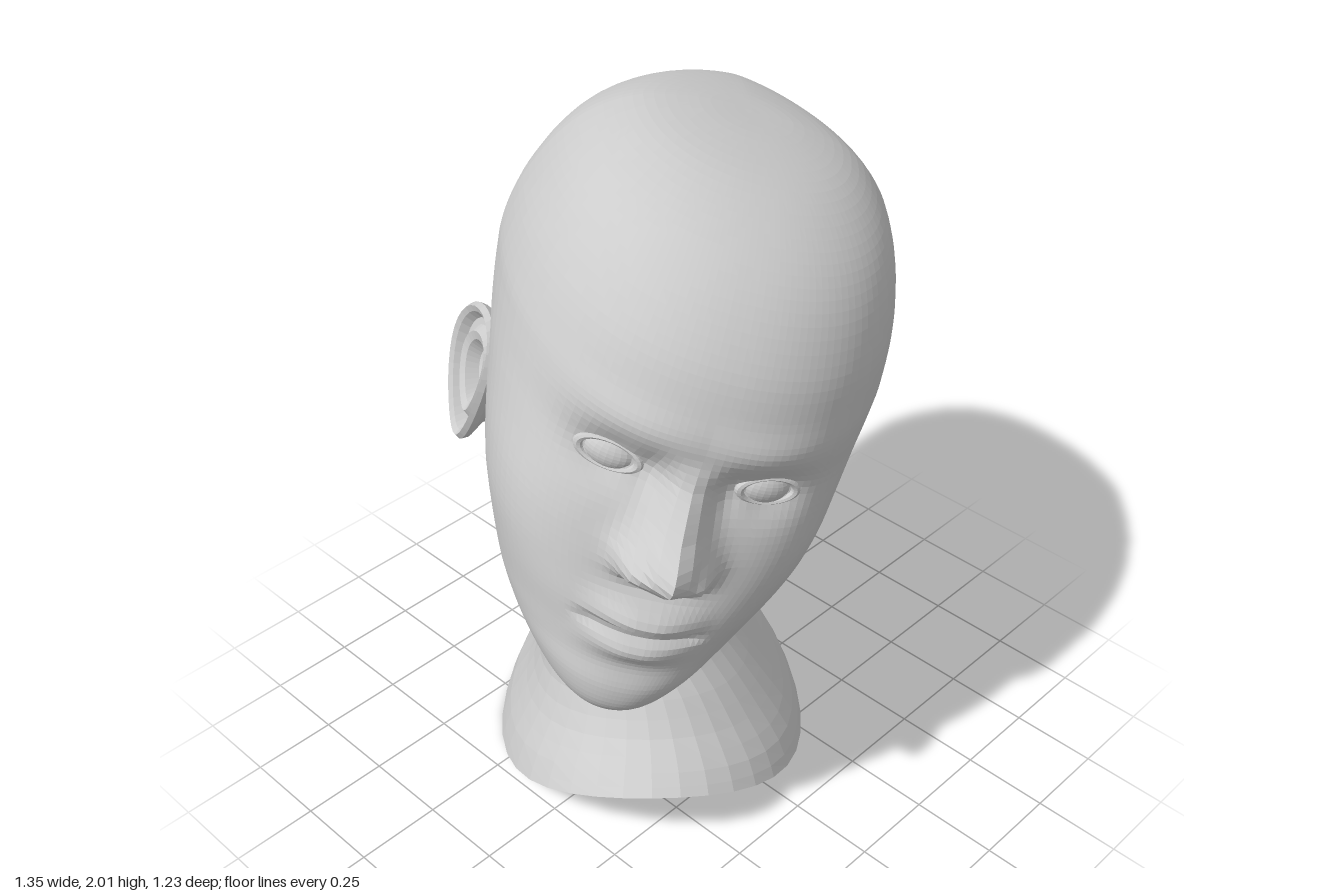
import * as THREE from 'three';

const grey = new THREE.MeshStandardMaterial({ color: 0xcccccc, flatShading: true, side: THREE.DoubleSide });
const gauss = (d, s) => Math.exp(-(d * d) / (s * s));
const spow = (v, n) => Math.sign(v) * Math.pow(Math.abs(v), n);

function addMesh(parent, name, geometry) {
  const mesh = new THREE.Mesh(geometry, grey);
  mesh.name = name;
  parent.add(mesh);
  return mesh;
}

// Smooth interpolation between the rows of a small table, at row position t
function sample(table, t) {
  const i = Math.min(Math.floor(t), table.length - 2), k = t - i;
  const row = (n) => table[Math.max(0, Math.min(table.length - 1, n))];
  return row(i).map((b, c) => {
    const a = row(i - 1)[c], d = row(i + 1)[c], e = row(i + 2)[c];
    return b + 0.5 * k * (d - a + k * (2 * a - 5 * b + 4 * d - e + k * (3 * (b - d) + e - a)));
  });
}

// Straight interpolation in [key, value] pairs with falling keys; zero outside
function ramp(pairs, key) {
  for (let i = 0; i < pairs.length - 1; i++) {
    const [k0, v0] = pairs[i], [k1, v1] = pairs[i + 1];
    if (key <= k0 && key >= k1) return v0 + ((v1 - v0) * (k0 - key)) / (k0 - k1);
  }
  return 0;
}

// Skin over closed rings; point(i, j) gives [x, y, z]
function loft(rings, cols, point) {
  const pos = [], index = [];
  for (let i = 0; i < rings; i++) {
    for (let j = 0; j < cols; j++) {
      pos.push(...point(i, j));
      if (i === rings - 1) continue;
      const a = i * cols + j, d = i * cols + ((j + 1) % cols);
      index.push(a, a + cols, d + cols, a, d + cols, d);
    }
  }
  const g = new THREE.BufferGeometry();
  g.setAttribute('position', new THREE.Float32BufferAttribute(pos, 3));
  g.setIndex(index);
  g.computeVertexNormals();
  return g;
}

// Skull and face sections: height, front z, back z, half width
const HEAD = [
  [0.83, -0.08, -0.08, 0], [0.825, 0.08, -0.21, 0.14], [0.795, 0.26, -0.375, 0.275],
  [0.725, 0.42, -0.52, 0.38], [0.63, 0.54, -0.635, 0.45], [0.5, 0.63, -0.72, 0.5],
  [0.38, 0.67, -0.755, 0.52], [0.3, 0.685, -0.75, 0.515], [0.2, 0.675, -0.715, 0.5],
  [0.1, 0.675, -0.665, 0.48], [0, 0.69, -0.6, 0.46], [-0.1, 0.71, -0.52, 0.435],
  [-0.19, 0.73, -0.41, 0.4], [-0.27, 0.735, -0.16, 0.365], [-0.33, 0.74, 0, 0.335],
  [-0.4, 0.755, 0.06, 0.285], [-0.47, 0.74, 0.12, 0.22], [-0.52, 0.68, 0.18, 0.15],
  [-0.545, 0.58, 0.27, 0.08], [-0.55, 0.45, 0.45, 0],
];
const NOSE = [[0.27, 0], [0.2, 0.03], [0.1, 0.11], [0.05, 0.175], [0.01, 0.18], [-0.04, 0.11], [-0.085, 0]];

// Forward offset of the face surface: nose, eye sockets, brows and lips
function features(x, y) {
  const ax = Math.abs(x);
  let d = ramp(NOSE, y) * gauss(ax, 0.05 + 0.04 * THREE.MathUtils.clamp((0.2 - y) / 0.2, 0, 1));
  d += 0.05 * gauss(ax - 0.09, 0.035) * gauss(y + 0.015, 0.04);
  d -= 0.05 * gauss(ax - 0.2, 0.1) * gauss(y - 0.19, 0.07);
  d -= 0.025 * gauss(ax - 0.1, 0.04) * gauss(y - 0.19, 0.06);
  d += 0.012 * gauss(ax - 0.17, 0.13) * gauss(y - 0.32, 0.05);
  const mouth = 1 - THREE.MathUtils.smoothstep(ax, 0.01, 0.19);
  d += mouth * (0.05 * gauss(y + 0.17, 0.04) + 0.038 * gauss(y + 0.26, 0.04));
  d -= 0.022 * (1 - THREE.MathUtils.smoothstep(ax, 0.12, 0.19)) * gauss(y + 0.217, 0.014);
  return d;
}

function headGeometry() {
  const steps = 5, cols = 88, rows = (HEAD.length - 1) * steps + 1;
  return loft(rows, cols, (i, j) => {
    const [y, front, back, w] = sample(HEAD, i / steps);
    const t = (j / cols) * Math.PI * 2 - Math.PI;
    const a = t - 0.55 * Math.sin(t); // columns gather on the face
    const widest = -0.08 + 0.36 * THREE.MathUtils.smoothstep(-y, -0.45, 0.45);
    const zc = Math.min(front, Math.max(back, widest));
    const c = Math.cos(a);
    const n = c > 0 ? 0.92 - 0.22 * gauss(y, 0.22) : 1.27; // full cheeks, pointed back
    const x = Math.max(0, w) * spow(Math.sin(a), n);
    const z = zc + (c > 0 ? front - zc : zc - back) * spow(c, n);
    return [x, y, z + features(x, y) * THREE.MathUtils.smoothstep(z, 0.2, 0.45)];
  });
}

// Ear rings from the root over the rim into the bowl: scale, outward offset
const EAR = [[0.62, -0.09], [0.75, -0.02], [0.97, 0.015], [1, 0.035], [0.94, 0.05], [0.86, 0.04],
  [0.78, 0.015], [0.68, 0.015], [0.58, 0.035], [0.46, 0.025], [0.34, -0.01], [0, -0.025]];

function earGeometry() {
  const cols = 32;
  return loft(EAR.length, cols, (i, j) => {
    const [s, h] = EAR[i], a = (j / cols) * Math.PI * 2;
    const width = 0.1 + 0.035 * Math.cos(a); // narrow lobe, wide top
    return [h, 0.185 * s * Math.cos(a), -width * s * Math.sin(a)];
  });
}

// Neck rings: height, centre x, centre z, radius x, radius z, rise at front and back
const NECK = [
  [1.03, -0.1, -0.03, 0.32, 0.23, 0], [0.9, -0.13, 0.02, 0.275, 0.27, 0],
  [0.78, -0.155, 0.05, 0.245, 0.3, 0], [0.68, -0.16, 0.035, 0.235, 0.3, 0],
  [0.58, -0.155, 0.005, 0.235, 0.275, 0],
  [0.47, -0.125, -0.01, 0.26, 0.285, 0.01], [0.36, -0.09, -0.02, 0.31, 0.35, 0.04],
  [0.26, -0.075, -0.03, 0.37, 0.43, 0.06], [0.18, -0.07, -0.04, 0.43, 0.52, 0.09],
  [0.115, -0.07, -0.04, 0.46, 0.575, 0.115],
];

function neckGeometry() {
  const steps = 2, cols = 36;
  return loft((NECK.length - 1) * steps + 1, cols, (i, j) => {
    const [y, cx, cz, rx, rz, rise] = sample(NECK, i / steps);
    const a = (j / cols) * Math.PI * 2;
    return [cx + rx * Math.sin(a), y + rise * Math.cos(2 * a), cz + rz * Math.cos(a)];
  });
}

export function createModel() {
  const model = new THREE.Group();
  model.name = 'headBust';

  // The whole bust is turned to its right
  const bust = new THREE.Group();
  bust.name = 'bust';
  bust.rotation.y = -Math.PI / 4;
  model.add(bust);
  addMesh(bust, 'neckAndCollar', neckGeometry());

  // The head leans towards its left shoulder
  const head = new THREE.Group();
  head.name = 'head';
  head.position.set(-0.057, 1.165, -0.06);
  head.rotation.set(0, 0.04, -0.314);
  bust.add(head);
  addMesh(head, 'skullAndFace', headGeometry());

  for (const [side, s] of [['left', 1], ['right', -1]]) {
    const half = new THREE.Group();
    half.name = side + 'Features';
    half.scale.x = s;
    head.add(half);

    // Ears turn forward, with the rear rim standing off the skull
    const ear = addMesh(half, side + 'Ear', earGeometry());
    ear.position.set(0.47, -0.025, 0.045);
    ear.rotation.set(-0.42, -0.42, -0.1);

    const eye = new THREE.Group();
    eye.name = side + 'Eye';
    eye.position.set(0.2, 0.19, 0.6);
    eye.rotation.y = 0.3;
    half.add(eye);
    const ball = addMesh(eye, side + 'Eyeball', new THREE.SphereGeometry(0.068, 24, 16));
    ball.scale.set(1, 0.7, 0.6);
    ball.position.z = -0.02;
    const lids = addMesh(eye, side + 'Eyelids', new THREE.TorusGeometry(0.074, 0.012, 8, 32));
    lids.scale.set(1.05, 0.5, 1);
  }
  return model;
}
